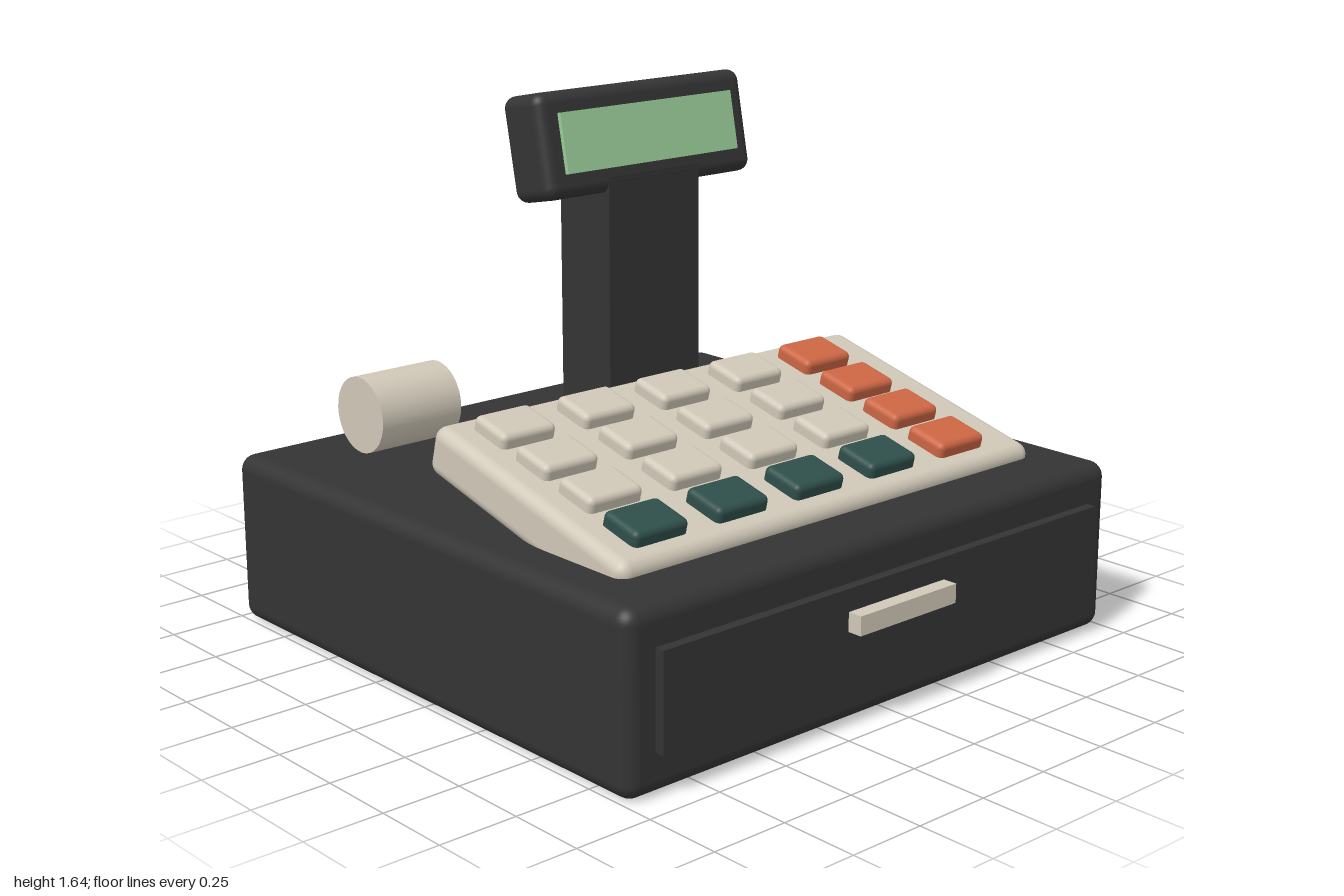
import * as THREE from 'three';
import { RoundedBoxGeometry } from 'three/addons/geometries/RoundedBoxGeometry.js';

const material = (name, color) => {
  const m = new THREE.MeshStandardMaterial({ color });
  m.name = name;
  return m;
};

export function createModel() {
  const charcoal = material('charcoal', 0x343434);
  const beige = material('beige', 0xd0c8b8);
  const orange = material('orange', 0xcc6644);
  const darkGreen = material('dark green', 0x2f4f4a);
  const screenGreen = material('screen green', 0x99cc99);

  const root = new THREE.Group();
  root.name = 'cashRegister';

  const add = (parent, name, geometry, mat, x, y, z) => {
    const mesh = new THREE.Mesh(geometry, mat);
    mesh.name = name;
    mesh.position.set(x, y, z);
    parent.add(mesh);
    return mesh;
  };
  const box = (w, h, d) => new THREE.BoxGeometry(w, h, d);
  const rounded = (w, h, d, r) => new RoundedBoxGeometry(w, h, d, 4, r);
  const tilted = (name, x, y, z, angle) => {
    const group = new THREE.Group();
    group.name = name;
    group.position.set(x, y, z);
    group.rotation.x = angle;
    root.add(group);
    return group;
  };

  // Body with cash drawer
  add(root, 'body', rounded(2, 0.55, 1.9, 0.05), charcoal, 0, 0.275, -0.04);
  add(root, 'drawerFront', box(1.8, 0.3, 0.06), charcoal, 0, 0.28, 0.912);
  add(root, 'drawerHandle', box(0.4, 0.06, 0.05), beige, 0, 0.33, 0.965);

  // Sloping keypad: four rows, five columns
  const keypad = tilted('keypad', 0, 0.62, 0.277, 0.25);
  add(keypad, 'keypadBase', rounded(1.7, 0.16, 0.885, 0.04), beige, 0, 0, 0);
  const keyGeometry = rounded(0.2, 0.07, 0.15, 0.02);
  for (let row = 0; row < 4; row++) {
    for (let col = 0; col < 5; col++) {
      const mat = col === 4 ? orange : row === 3 ? darkGreen : beige;
      add(keypad, 'key', keyGeometry, mat, -0.655 + col * 0.31, 0.09, -0.3 + row * 0.2);
    }
  }

  // Customer display on its post
  add(root, 'displayPost', box(0.4, 0.81, 0.25), charcoal, 0.4, 0.945, -0.69);
  const display = tilted('display', 0.4, 1.453, -0.69, -0.2);
  add(display, 'displayHousing', rounded(0.9, 0.35, 0.2, 0.04), charcoal, 0, 0, 0);
  add(display, 'displayScreen', box(0.75, 0.2, 0.02), screenGreen, 0, 0.003, 0.105);

  // Paper roll
  const roll = add(root, 'paperRoll', new THREE.CylinderGeometry(0.122, 0.122, 0.3, 32), beige, -0.605, 0.705, -0.643);
  roll.rotation.z = Math.PI / 2;

  return root;
}
